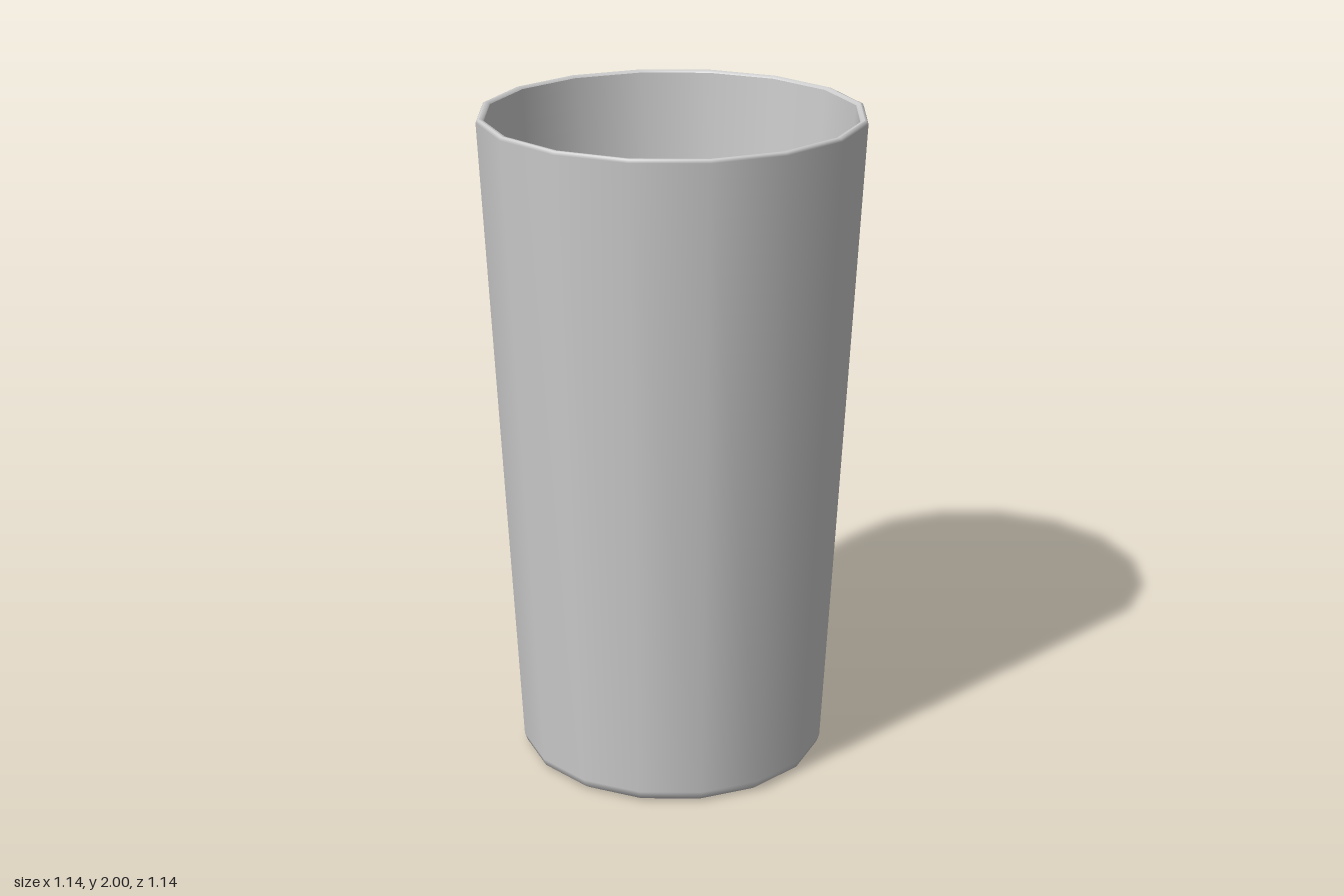
import * as THREE from 'three';

const SIDES = 16;

// Revolve a profile of [radius, height] pairs
function turned(name, profile, material) {
  const points = profile.map(([r, y]) => new THREE.Vector2(r, y));
  const mesh = new THREE.Mesh(new THREE.LatheGeometry(points, SIDES), material);
  mesh.name = name;
  return mesh;
}

export function createModel() {
  const group = new THREE.Group();
  group.name = 'tumbler';
  const material = new THREE.MeshStandardMaterial({ color: 0xcccccc });

  group.add(
    // Flat underside
    turned('base', [[0, 0], [0.445, 0]], material),
    // Tapered outside with softened foot and lip
    turned('outerWall', [[0.445, 0], [0.462, 0.012], [0.47, 0.035], [0.568, 1.99], [0.564, 1.998], [0.558, 2]], material),
    // Narrow top of the lip
    turned('rim', [[0.558, 2], [0.55, 1.999], [0.545, 1.993]], material),
    // Hollow inside
    turned('innerWall', [[0.545, 1.993], [0.42, 0.04]], material),
    turned('innerFloor', [[0.42, 0.04], [0, 0.04]], material)
  );
  return group;
}
